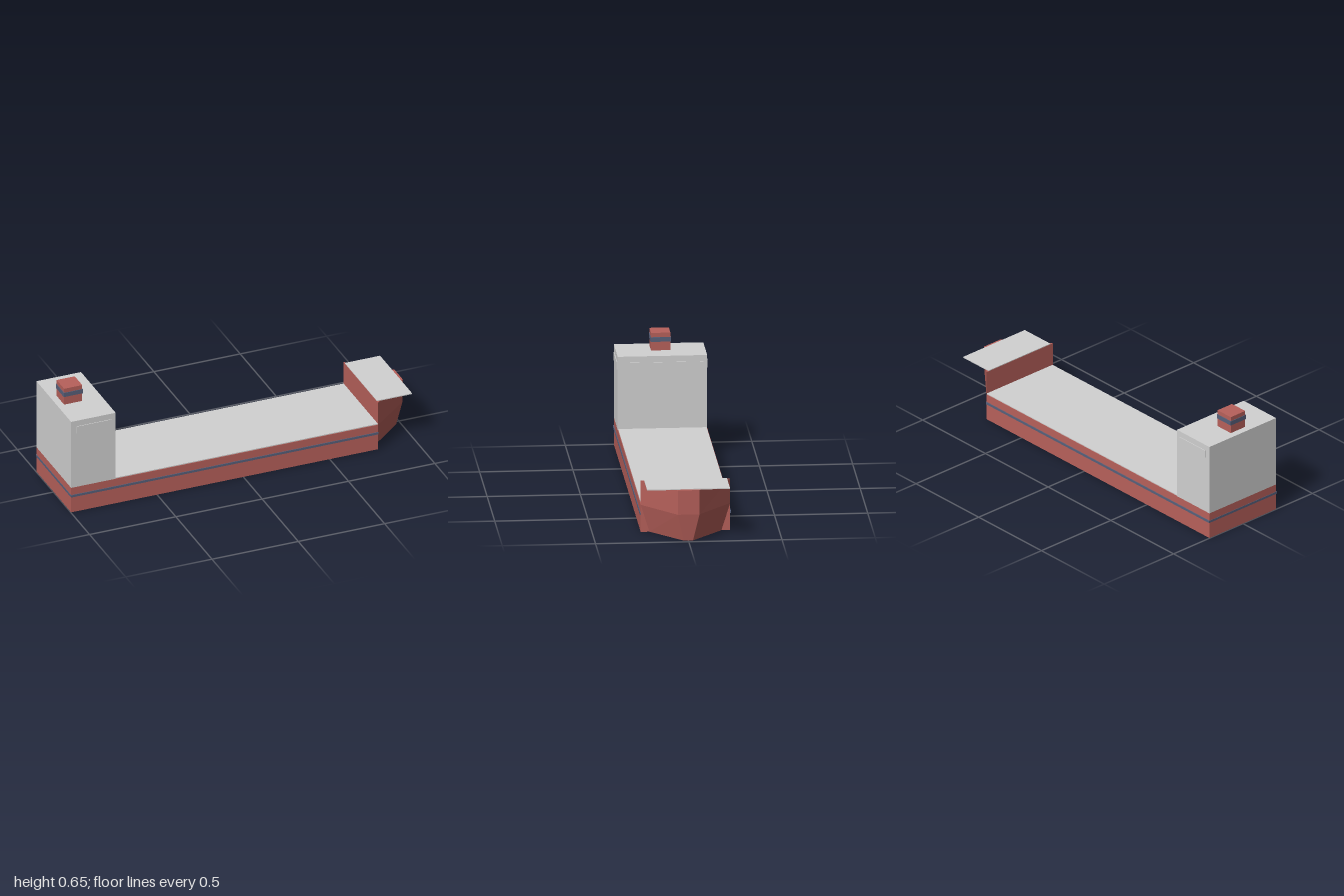
import * as THREE from 'three';

const paint = (name, color) => {
  const m = new THREE.MeshStandardMaterial({ color });
  m.name = name;
  return m;
};

// Bow block lofted through four-cornered level outlines [y, xBack, wBack, xTip, wTip]
function bowGeometry(levels) {
  const rings = levels.map(([y, xb, wb, xt, wt]) =>
    [[xb, y, wb], [xt, y, wt], [xt, y, -wt], [xb, y, -wb]]);
  const pos = [];
  const quad = (a, b, c, d) => pos.push(...a, ...b, ...c, ...a, ...c, ...d);
  for (let i = 0; i < rings.length - 1; i++) {
    for (let j = 0; j < 4; j++) {
      const k = (j + 1) % 4;
      quad(rings[i][j], rings[i][k], rings[i + 1][k], rings[i + 1][j]);
    }
  }
  const top = rings[rings.length - 1];
  quad(...top);
  quad(...[...rings[0]].reverse());
  const g = new THREE.BufferGeometry();
  g.setAttribute('position', new THREE.Float32BufferAttribute(pos, 3));
  g.computeVertexNormals();
  return g;
}

export function createModel() {
  const ship = new THREE.Group();
  ship.name = 'cargoShip';
  const red = paint('hullRed', 0xb8615b);
  const grey = paint('lightGrey', 0xd2d2d2);
  const blue = paint('stripeBlue', 0x58617b);

  const add = (name, geometry, material) => {
    const mesh = new THREE.Mesh(geometry, material);
    mesh.name = name;
    ship.add(mesh);
    return mesh;
  };
  // Box given by its limits on each axis
  const box = (name, material, [x0, x1], [y0, y1], [z0, z1]) =>
    add(name, new THREE.BoxGeometry(x1 - x0, y1 - y0, z1 - z0), material)
      .position.set((x0 + x1) / 2, (y0 + y1) / 2, (z0 + z1) / 2);

  // Hull, deck and bow
  box('hull', red, [-0.998, 0.78], [0, 0.15], [-0.24, 0.24]);
  box('deck', grey, [-0.74, 0.78], [0.149, 0.155], [-0.237, 0.237]);
  add('bow', bowGeometry([
    [0, 0.78, 0.193, 0.975, 0.025],
    [0.15, 0.78, 0.24, 0.998, 0.058],
    [0.285, 0.78, 0.24, 1, 0.058],
  ]), red);
  box('foredeck', grey, [0.781, 0.985], [0.284, 0.289], [-0.222, 0.222]);

  // Superstructure
  box('bridge', grey, [-0.998, -0.74], [0.15, 0.555], [-0.24, 0.24]);
  box('frontWindowBand', grey, [-0.741, -0.736], [0.478, 0.521], [-0.22, 0.22]);

  // Bands on both sides
  for (const s of [-1, 1]) {
    const z = s > 0 ? [0.239, 0.244] : [-0.244, -0.239];
    const side = s > 0 ? 'left' : 'right';
    const flip = s > 0 ? 'right' : 'left';
    box(`${flip}WindowBand`, grey, [-0.967, -0.765], [0.478, 0.521], z);
    box(`${flip}HullStripe`, blue, [-1, 0.78], [0.093, 0.106], z);
  }
  box('sternStripe', blue, [-1, -0.997], [0.093, 0.106], [-0.24, 0.24]);

  // Funnel
  box('funnel', red, [-0.96, -0.855], [0.55, 0.652], [-0.052, 0.052]);
  box('funnelStripe', blue, [-0.963, -0.852], [0.603, 0.628], [-0.055, 0.055]);

  return ship;
}
